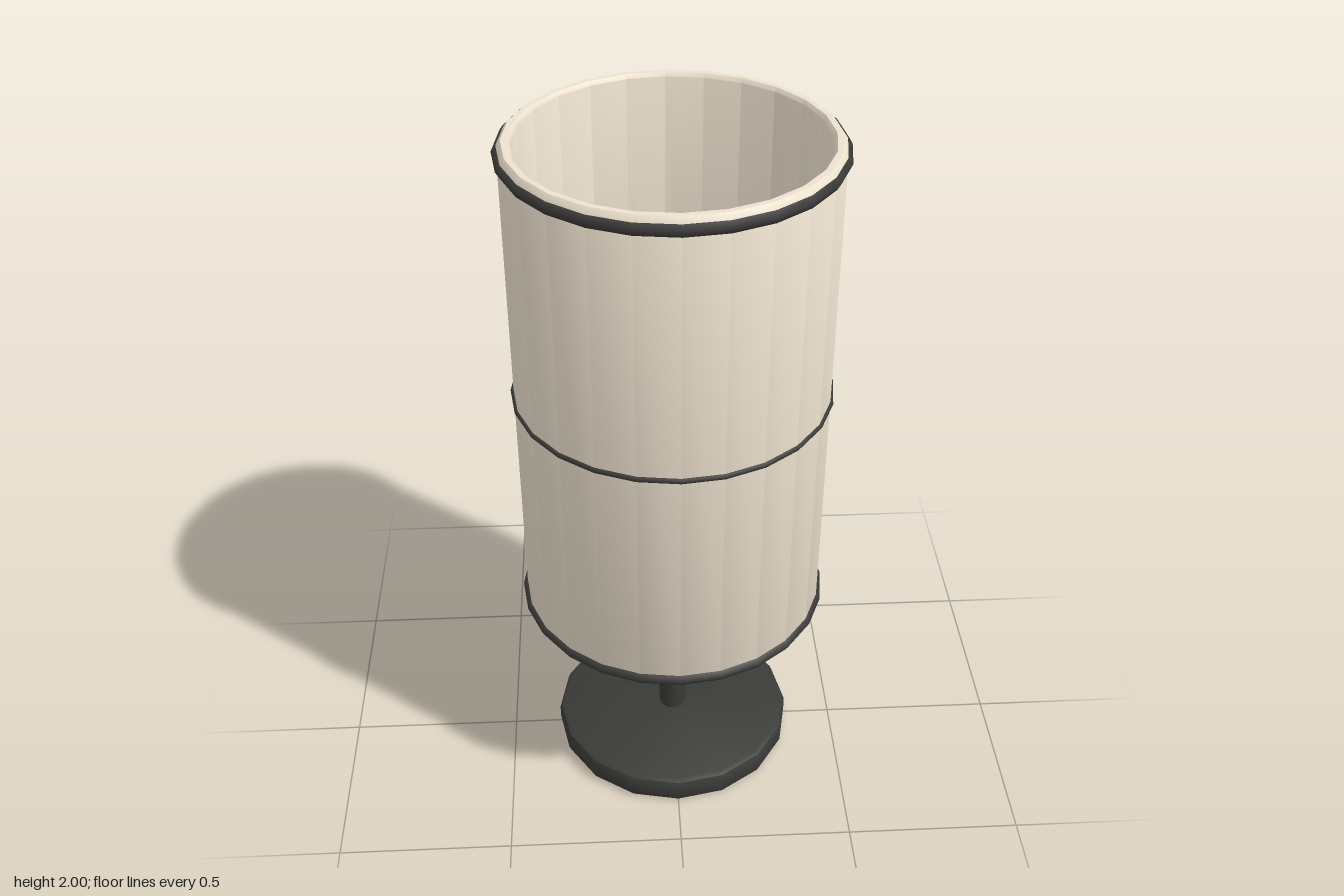
import * as THREE from 'three';
import { toCreasedNormals } from 'three/addons/utils/BufferGeometryUtils.js';

const cream = new THREE.MeshStandardMaterial({ color: 0xeee2cf });
const dark = new THREE.MeshStandardMaterial({ color: 0x3a3a38 });

// Turned solid from [radius, height] pairs, running from the bottom up
function turned(name, profile, sides, material) {
  const points = profile.map(([r, y]) => new THREE.Vector2(r, y));
  const geometry = toCreasedNormals(new THREE.LatheGeometry(points, sides), 0.7);
  const mesh = new THREE.Mesh(geometry, material);
  mesh.name = name;
  return mesh;
}

// Flat disc with softened rims
function disc(name, radius, bottom, top, sides, material) {
  const b = Math.min(0.02, (top - bottom) * 0.3);
  return turned(name, [
    [0, bottom], [radius - b, bottom], [radius - b * 0.3, bottom + b * 0.3], [radius, bottom + b],
    [radius, top - b], [radius - b * 0.3, top - b * 0.3], [radius - b, top], [0, top],
  ], sides, material);
}

// Horizontal band around the shade
function band(name, y, radius, tube) {
  const geometry = new THREE.TorusGeometry(radius, tube, 6, 24);
  geometry.rotateX(Math.PI / 2);
  const mesh = new THREE.Mesh(geometry, dark);
  mesh.name = name;
  mesh.position.y = y;
  return mesh;
}

export function createModel() {
  const lamp = new THREE.Group();
  lamp.name = 'tableLamp';

  // Foot and stem
  lamp.add(disc('base', 0.357, 0, 0.08, 16, dark));
  lamp.add(turned('stem', [[0, 0.06], [0.042, 0.06], [0.042, 0.62], [0, 0.62]], 12, dark));

  // Panel closing the lower end of the shade
  lamp.add(disc('shadeFloor', 0.392, 0.578, 0.61, 16, cream));

  // Hollow shade, closed profile: up the outside, over the rim, down the inside
  lamp.add(turned('shade', [
    [0.395, 0.57], [0.403, 0.56], [0.418, 0.56], [0.43, 0.575],
    [0.43, 1.985], [0.418, 2], [0.403, 2], [0.395, 1.99], [0.395, 0.57],
  ], 24, cream));

  // Trim
  lamp.add(band('lowerTrim', 0.585, 0.424, 0.018));
  lamp.add(band('middleTrim', 1.275, 0.43, 0.008));
  lamp.add(band('upperTrim', 1.97, 0.424, 0.018));

  return lamp;
}
